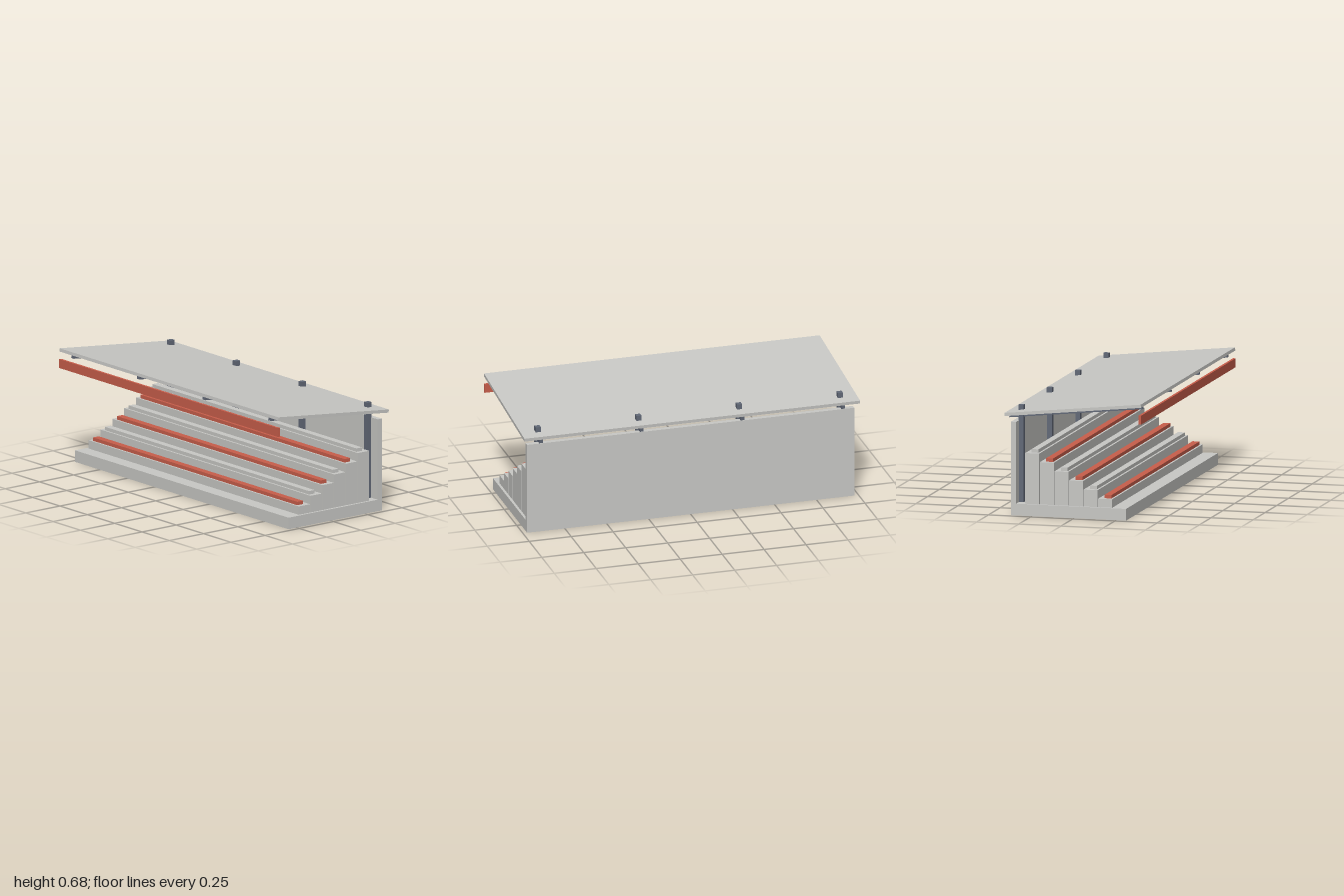
import * as THREE from 'three';

const concrete = new THREE.MeshStandardMaterial({ color: 0xc8c8c5 });
concrete.name = 'pale concrete';
const red = new THREE.MeshStandardMaterial({ color: 0xc85e4b });
red.name = 'brick red';
const steel = new THREE.MeshStandardMaterial({ color: 0x626977 });
steel.name = 'slate steel';

export function createModel() {
  const model = new THREE.Group();
  model.name = 'grandstand';

  // Box given by its extents along y and z, centred at x
  const box = (name, material, width, y0, y1, z0, z1, x = 0) => {
    const mesh = new THREE.Mesh(new THREE.BoxGeometry(width, y1 - y0, z1 - z0), material);
    mesh.position.set(x, (y0 + y1) / 2, (z0 + z1) / 2);
    mesh.name = name;
    model.add(mesh);
    return mesh;
  };

  // Plinth and back wall
  const plinthTop = 0.068;
  box('plinth', concrete, 1.95, 0, plinthTop, -0.373, 0.309);
  box('backWall', concrete, 1.95, plinthTop, 0.542, -0.373, -0.343);

  // Stepped terraces, each carrying a bench; bench colours alternate
  for (let i = 0; i < 6; i++) {
    const z = 0.181 - i * 0.0865;
    const top = 0.117 + i * 0.0489;
    box(`terrace${i + 1}`, concrete, 1.92, plinthTop, top, z - 0.0415, z + 0.0415);
    box(`bench${i + 1}`, i % 2 ? concrete : red, 1.865, top, top + 0.02, z - 0.011, z + 0.03);
  }

  // Posts through the roof, each with a sloping rafter
  const slope = -0.105;
  for (const x of [-0.9, -0.3, 0.3, 0.9]) {
    box('post', steel, 0.03, plinthTop, 0.632, -0.346, -0.315, x);
    const rafter = box('rafter', steel, 0.022, 0.597, 0.618, -0.404, 0.39, x);
    rafter.rotation.x = slope;
  }

  // Sloping roof and the hanging front fascia
  const roof = box('roof', concrete, 2, 0.6195, 0.638, -0.406, 0.406);
  roof.rotation.x = slope;
  box('fascia', red, 2, 0.565, 0.617, 0.391, 0.406);

  return model;
}
